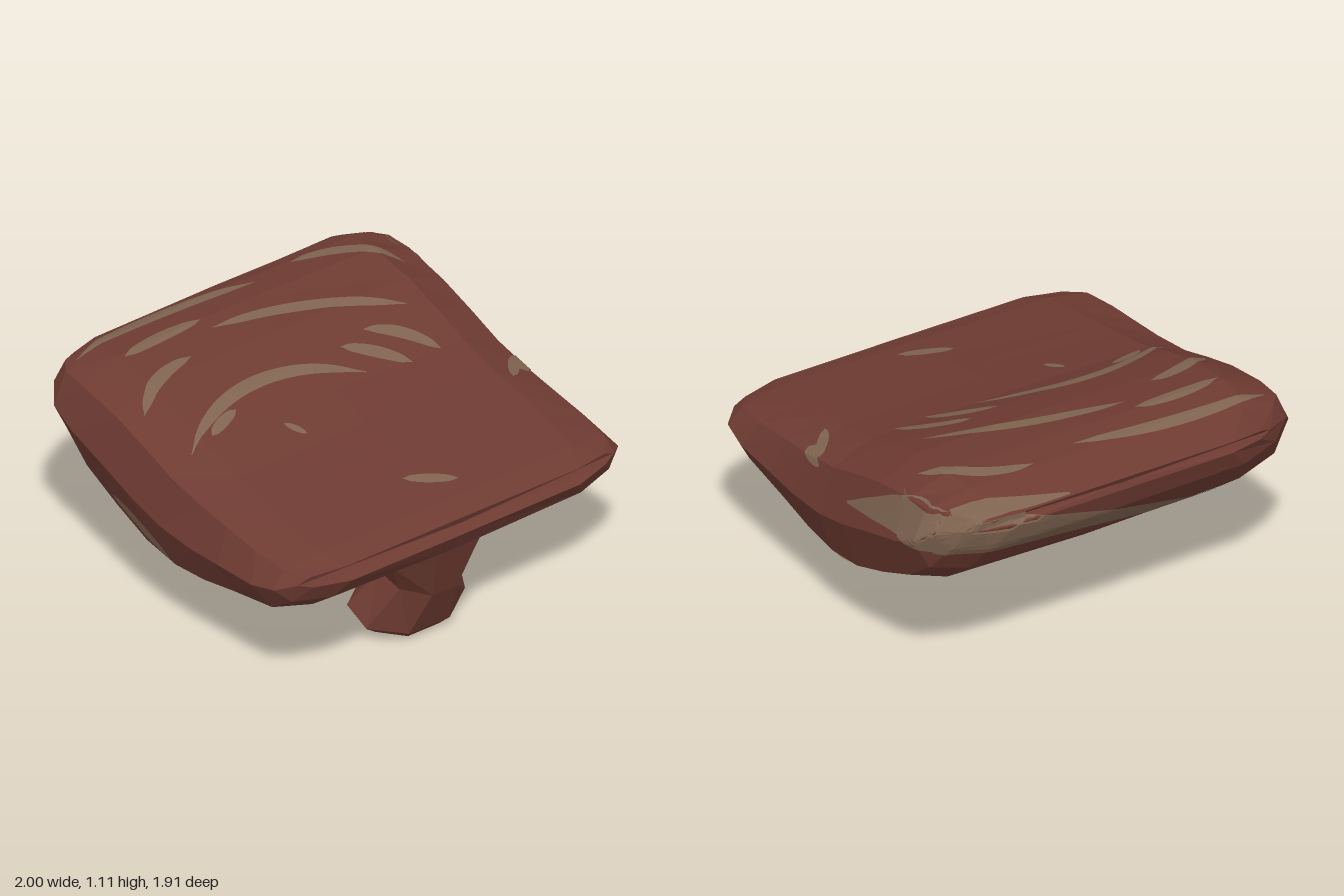
import * as THREE from 'three';

const maroon = new THREE.MeshStandardMaterial({ color: 0x6e3b32, flatShading: true });
maroon.name = 'reddish brown';
const tan = new THREE.MeshStandardMaterial({ color: 0x7f6450, flatShading: true, side: THREE.DoubleSide });
tan.name = 'worn tan';

// Skin a list of closed rings and cap both ends
function loft(rings) {
  const n = rings[0].length, pos = rings.flat(2), idx = [];
  for (let i = 0; i < rings.length - 1; i++) {
    for (let j = 0; j < n; j++) {
      const a = i * n + j, b = i * n + (j + 1) % n;
      idx.push(a, b, a + n, b, b + n, a + n);
    }
  }
  [0, rings.length - 1].forEach((k, end) => {
    const c = pos.length / 3;
    pos.push(...[0, 1, 2].map(d => rings[k].reduce((s, p) => s + p[d], 0) / n));
    for (let j = 0; j < n; j++) {
      const a = k * n + j, b = k * n + (j + 1) % n;
      if (end) idx.push(c, a, b); else idx.push(c, b, a);
    }
  });
  return surface(pos, idx);
}

function surface(pos, idx) {
  const g = new THREE.BufferGeometry();
  g.setAttribute('position', new THREE.Float32BufferAttribute(pos, 3));
  g.setIndex(idx);
  g.computeVertexNormals();
  return g;
}

// Cushion stations, front to back: top z, top y, bottom z, bottom y, half width
const stations = [
  [0.93, 0.75, 0.955, 0.68, 0.9], [0.82, 0.79, 0.9, 0.58, 0.98],
  [0.6, 0.83, 0.77, 0.48, 1], [0.4, 0.87, 0.45, 0.41, 1],
  [0.23, 0.905, 0.23, 0.35, 1], [0, 0.96, 0.03, 0.315, 1],
  [-0.18, 1.03, -0.18, 0.335, 1], [-0.39, 1.09, -0.4, 0.42, 1],
  [-0.64, 1.12, -0.62, 0.53, 1], [-0.8, 1.105, -0.8, 0.67, 0.99],
  [-0.87, 1.08, -0.92, 0.83, 0.93], [-0.955, 1, -0.955, 0.94, 0.8],
];
// Half section: fraction of half width, fraction of depth below the top
const section = [[0, 0], [0.73, 0.015], [0.93, 0.15], [1, 0.5], [0.92, 0.85], [0.72, 0.975], [0, 1]];
const fullSection = [...section, ...section.slice(1, -1).reverse().map(([x, d]) => [-x, d])];

function cushionRing([zt, t, zb, b, w]) {
  return fullSection.map(([fx, d]) => {
    const x = fx * w, z = zt + (zb - zt) * d;
    const round = 1 - 0.33 * Math.max(0, Math.abs(x) - 0.65) * z ** 4; // rounded corners in plan
    return [x, t + (b - t) * d, z * round];
  });
}

// Stub rings, top to bottom: front z, front y, back z, back y, half width
const stubStations = [
  [0.92, 0.65, 0.38, 0.5, 0.33], [0.88, 0.53, 0.44, 0.45, 0.27],
  [0.8, 0.3, 0.43, 0.36, 0.17], [0.69, 0.06, 0.35, 0.2, 0.28], [0.645, 0.015, 0.37, 0.12, 0.21],
];
function stubRing([zf, yf, zb, yb, hw]) {
  const k = 1 / Math.cos(Math.PI / 8);
  return Array.from({ length: 8 }, (_, i) => {
    const a = (i + 0.5) * Math.PI / 4, f = 0.5 + 0.5 * k * Math.cos(a);
    return [-hw * k * Math.sin(a), yb + (yf - yb) * f, zb + (zf - zb) * f];
  });
}

// Planes from which painted wear is projected onto the cushion
const r = Math.SQRT1_2;
const planes = {
  top: { at: (u, v) => [u, 3, v], dir: [0, -1, 0] },
  bottom: { at: (u, v) => [u, -3, v], dir: [0, 1, 0] },
  left: { at: (u, v) => [3, v, u], dir: [-1, 0, 0] },
  right: { at: (u, v) => [-3, v, u], dir: [1, 0, 0] },
  back: { at: (u, v) => [u, v, -3], dir: [0, 0, 1] },
  corner: { at: (u, v) => [(3 + u) * r, v, (u - 3) * r], dir: [-r, 0, r] },
};

// Ribbon through points [u, v, half width], laid just above the surface
function ribbon(target, plane, points) {
  const { at, dir } = planes[plane];
  const ray = new THREE.Raycaster();
  const curve = new THREE.CatmullRomCurve3(points.map(p => new THREE.Vector3(...p)));
  const steps = 28, n = 7, pos = [], ok = [], idx = [];
  for (let i = 0; i <= steps; i++) {
    const p = curve.getPoint(i / steps), t = curve.getTangent(i / steps);
    const len = Math.hypot(t.x, t.y);
    for (let j = 0; j < n; j++) {
      const s = (j / (n - 1) * 2 - 1) * Math.max(p.z, 0.002) / len;
      ray.set(new THREE.Vector3(...at(p.x - t.y * s, p.y + t.x * s)), new THREE.Vector3(...dir));
      const hit = ray.intersectObject(target)[0];
      ok.push(!!hit);
      const q = hit ? hit.point.addScaledVector(hit.face.normal, 0.005) : new THREE.Vector3();
      pos.push(q.x, q.y, q.z);
    }
  }
  for (let i = 0; i < steps; i++) {
    for (let j = 0; j < n - 1; j++) {
      const a = i * n + j;
      if ([a, a + 1, a + n, a + n + 1].every(k => ok[k])) idx.push(a, a + 1, a + n, a + 1, a + n + 1, a + n);
    }
  }
  return new THREE.Mesh(surface(pos, idx), tan);
}

// Curved scuff between two points, tapering to both ends; longer ones are wider
function scuffPath(u0, v0, u1, v1, bow) {
  const du = u1 - u0, dv = v1 - v0;
  const width = Math.min(0.034, 0.01 + 0.08 * Math.hypot(du, dv));
  return Array.from({ length: 9 }, (_, i) => {
    const t = i / 8, b = 4 * bow * t * (1 - t);
    return [u0 + du * t - dv * b, v0 + dv * t + du * b, width * Math.sqrt(Math.sin(Math.PI * t) + 1e-6)];
  });
}

// Scuffs on each side: start, end, bow as a fraction of length
const scuffs = {
  top: [
    [-0.85, -0.78, 0.13, -0.74, -0.04], [-0.71, -0.61, -0.26, -0.635, -0.03],
    [-0.84, -0.3, -0.46, -0.45, -0.09], [-0.25, -0.56, 0.62, -0.26, -0.06],
    [0.37, -0.78, 0.81, -0.52, -0.13], [-0.8, -0.01, 0.2, -0.02, -0.17],
    [0.18, -0.18, 0.43, 0.02, -0.05], [0.34, -0.22, 0.6, 0.01, -0.1],
    [-0.09, 0.61, 0.13, 0.73, 0], [0.79, 0.29, 0.92, 0.13, 0],
    [-0.67, -0.03, -0.48, -0.1, -0.03], [-0.33, 0.06, -0.28, 0.16, 0],
  ],
  left: [[0.25, 0.83, 0.1, 0.82, 0], [0.08, 0.37, -0.2, 0.41, 0]],
  right: [[-0.4, 0.58, 0, 0.43, 0.05]],
  bottom: [[-0.6, -0.6, -0.62, -0.1, 0.18]],
};

// Broad wear around the back left corner, with a width at every point
const wornAreas = {
  left: [[-0.18, 0.79, 0.005], [-0.4, 0.87, 0.05], [-0.65, 0.95, 0.09], [-0.9, 0.95, 0.09]],
  corner: [[-0.3, 0.92, 0.1], [0.25, 0.94, 0.09]],
  back: [[0.9, 0.93, 0.1], [0.5, 0.87, 0.09], [0.1, 0.79, 0.06], [-0.65, 0.6, 0.01]],
  top: [[0.28, -0.945, 0.004], [0.55, -0.92, 0.025], [0.85, -0.87, 0.035]],
};

export function createModel() {
  const group = new THREE.Group();
  const add = (mesh, name) => {
    mesh.name = name;
    group.add(mesh);
    return mesh;
  };
  const cushion = add(new THREE.Mesh(loft(stations.map(cushionRing)), maroon), 'cushion');
  add(new THREE.Mesh(loft(stubStations.map(stubRing)), maroon), 'flaredStub');
  for (const [plane, list] of Object.entries(scuffs)) {
    list.forEach((s, i) => add(ribbon(cushion, plane, scuffPath(...s)), `${plane}Scuff${i + 1}`));
  }
  for (const [plane, path] of Object.entries(wornAreas)) {
    add(ribbon(cushion, plane, path), `${plane}WornArea`);
  }
  return group;
}
